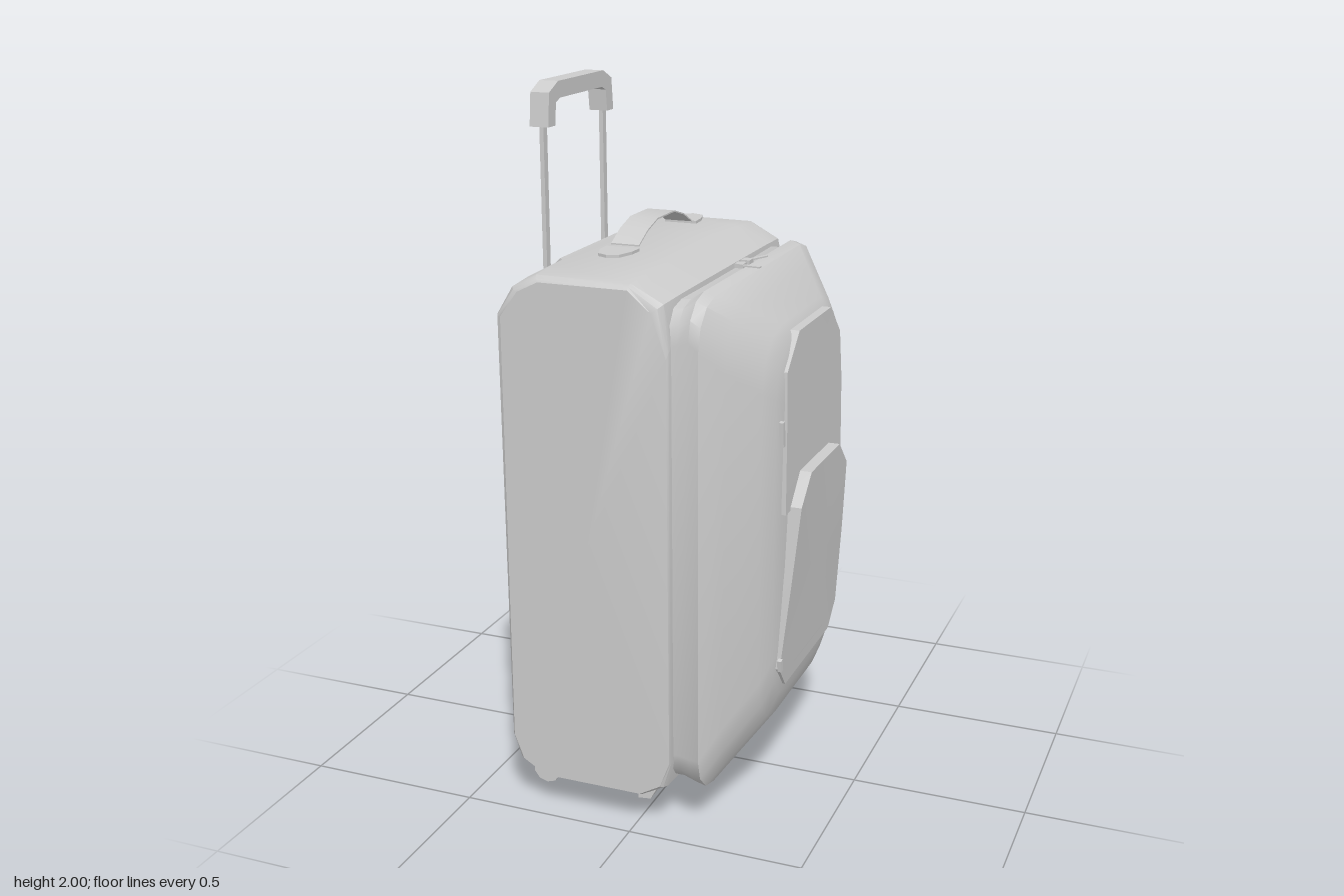
import * as THREE from 'three';
import { toCreasedNormals } from 'three/addons/utils/BufferGeometryUtils.js';

const material = new THREE.MeshStandardMaterial({ color: 0xcccccc });
const thinMaterial = new THREE.MeshStandardMaterial({ color: 0xcccccc, side: THREE.DoubleSide });

// Skins a row of equal-length rings of [x, y, z] and closes both ends.
function loft(rings, crease = 0.5) {
  const n = rings[0].length;
  const pos = rings.flat(2);
  const index = [];
  for (let r = 0; r < rings.length - 1; r++) {
    for (let i = 0; i < n; i++) {
      const a = r * n + i, b = r * n + (i + 1) % n;
      index.push(a, b, b + n, a, b + n, a + n);
    }
  }
  [0, rings.length - 1].forEach((r, end) => {
    const c = pos.length / 3;
    for (let k = 0; k < 3; k++) pos.push(rings[r].reduce((s, p) => s + p[k], 0) / n);
    for (let i = 0; i < n; i++) {
      const a = r * n + i, b = r * n + (i + 1) % n;
      index.push(...(end ? [a, b, c] : [b, a, c]));
    }
  });
  // turn the faces outward
  const v = i => new THREE.Vector3().fromArray(pos, i * 3);
  let volume = 0;
  for (let i = 0; i < index.length; i += 3) volume += v(index[i]).dot(v(index[i + 1]).cross(v(index[i + 2])));
  if (volume < 0) index.reverse();
  const geo = new THREE.BufferGeometry();
  geo.setAttribute('position', new THREE.Float32BufferAttribute(pos, 3));
  geo.setIndex(index);
  return toCreasedNormals(geo, crease);
}

// Rounded rectangle in the YZ plane at a given x.
function roundedRing(x, halfZ, y0, y1, r) {
  const ring = [];
  const corners = [[halfZ - r, y1 - r], [r - halfZ, y1 - r], [r - halfZ, y0 + r], [halfZ - r, y0 + r]];
  corners.forEach(([z, y], q) => {
    for (let i = 0; i <= 3; i++) {
      const a = (q + i / 3) * Math.PI / 2;
      ring.push([x, y + r * Math.sin(a), z + r * Math.cos(a)]);
    }
  });
  return ring;
}

// Outline in XY pushed out evenly around a given z.
function slab(points, z, depth) {
  return loft([z - depth / 2, z + depth / 2].map(k => points.map(([x, y]) => [x, y, k])), 0.3);
}

export function createModel() {
  const group = new THREE.Group();
  const add = (name, geo, mat = material, parent = group) => {
    const mesh = new THREE.Mesh(geo, mat);
    mesh.name = name;
    parent.add(mesh);
    return mesh;
  };
  const box = (name, size, at, rot = [0, 0, 0]) => {
    const mesh = add(name, new THREE.BoxGeometry(...size));
    mesh.position.set(...at);
    mesh.rotation.set(...rot);
    return mesh;
  };

  // Main case: side panel outline blended into a fuller middle outline
  const side = [[-0.36, 1.43], [-0.31, 1.5], [-0.25, 1.53], [0, 1.53], [0.065, 1.475], [0.105, 1.36],
    [0.108, 0.22], [0.08, 0.145], [0.02, 0.11], [-0.27, 0.11], [-0.335, 0.15], [-0.362, 0.22]];
  const middle = [[-0.39, 1.43], [-0.345, 1.51], [-0.27, 1.55], [0, 1.548], [0.1, 1.505], [0.115, 1.4],
    [0.115, 0.22], [0.1, 0.135], [0.03, 0.1], [-0.28, 0.1], [-0.36, 0.15], [-0.378, 0.22]];
  const stations = [[-0.47, 0], [-0.462, 0.4], [-0.445, 0.7], [-0.34, 0.95], [-0.2, 1]];
  const all = [...stations, ...stations.map(([z, t]) => [-z, t]).reverse()];
  add('mainCase', loft(all.map(([z, t]) => side.map(([x, y], i) =>
    [x + (middle[i][0] - x) * t, y + (middle[i][1] - y) * t, z]))));

  // Front pouch with the seam groove and zip band behind it
  add('frontPouch', loft([
    [0.06, 0.45, 0.14, 1.49, 0.1], [0.125, 0.45, 0.14, 1.492, 0.1], [0.16, 0.458, 0.128, 1.515, 0.11],
    [0.19, 0.465, 0.12, 1.505, 0.12], [0.24, 0.41, 0.185, 1.46, 0.14], [0.31, 0.32, 0.275, 1.4, 0.15],
    [0.335, 0.28, 0.34, 1.365, 0.14], [0.35, 0.23, 0.42, 1.3, 0.1],
  ].map(s => roundedRing(...s)), 0.6));

  // Pockets: half outline [z, y, x], mirrored, with the skirt sunk in the pouch
  const pocket = (name, half) => {
    const rim = [...half, ...half.map(([z, y, x]) => [-z, y, x]).reverse()];
    add(name, loft([rim.map(([z, y]) => [0.3, y, z]), rim.map(([z, y, x]) => [x, y, z])], 0.4));
  };
  pocket('upperPocket', [[0.25, 0.9, 0.357], [0.245, 1.15, 0.355], [0.235, 1.29, 0.35], [0.14, 1.38, 0.35]]);
  pocket('lowerPocket', [[0.2, 0.38, 0.347], [0.26, 0.45, 0.35], [0.235, 0.7, 0.372], [0.21, 0.91, 0.388], [0.13, 0.987, 0.389]]);

  // Telescopic handle: well plate, rods and grip
  box('handleWell', [0.12, 0.012, 0.46], [-0.338, 1.495, 0], [0, 0, 0.78]);
  for (const s of [1, -1]) box('handleRod', [0.012, 0.47, 0.022], [-0.36, 1.675, s * 0.19]);
  const outer = [[0.21, 1.885], [0.2, 1.975], [0.145, 2]];
  const inner = [[0.135, 1.955], [0.16, 1.945], [0.168, 1.885]];
  const gripHalf = [...outer.slice().reverse(), ...inner.slice().reverse()];
  const gripShape = new THREE.Shape([...outer, ...outer.map(([z, y]) => [-z, y]).reverse(),
    ...gripHalf.slice(3).map(([z, y]) => [-z, y]), ...inner].map(p => new THREE.Vector2(...p)));
  const grip = new THREE.ExtrudeGeometry(gripShape, { depth: 0.055, bevelEnabled: false });
  grip.rotateY(Math.PI / 2).translate(-0.39, 0, 0);
  add('handleGrip', grip);

  // Carry strap: thin arched band
  const arch = [[-0.19, 1.585], [-0.13, 1.615], [-0.06, 1.635], [0.06, 1.635], [0.13, 1.615], [0.19, 1.585]];
  add('carryStrap', loft(arch.map(([z, y]) =>
    [[-0.167, y - 0.004, z], [-0.167, y, z], [-0.086, y, z], [-0.086, y - 0.004, z]])));

  // Strap end pads
  const padShape = new THREE.Shape([[-0.175, 0.205], [-0.078, 0.205], [-0.08, 0.25], [-0.095, 0.3],
    [-0.127, 0.313], [-0.155, 0.3], [-0.173, 0.25]].map(p => new THREE.Vector2(...p)));
  for (const s of [1, -1]) {
    const pad = new THREE.ExtrudeGeometry(padShape, { depth: 0.008, bevelEnabled: false });
    pad.rotateX(s * Math.PI / 2);
    pad.translate(0, s > 0 ? 1.58 : 1.572, 0);
    add('strapPad', pad, thinMaterial);
  }

  // Zip pulls: slider and tab
  for (const [z, tabX, tabZ, turn, length] of [[-0.01, 0.165, -0.048, 1.15, 0.07], [0.042, 0.182, 0.061, -0.1, 0.06]]) {
    box('zipSlider', [0.025, 0.012, 0.032], [0.148, 1.52, z]);
    box('zipTab', [length, 0.004, 0.012], [tabX, 1.523, tabZ], [0, turn, 0]);
  }
  box('upperPocketZip', [0.012, 0.07, 0.014], [0.348, 1.13, 0.265], [0.1, 0, 0]);
  box('lowerPocketZip', [0.012, 0.035, 0.014], [0.352, 0.465, 0.262], [0.2, 0, 0]);

  // Wheels with forks at the back, feet at the front
  for (const s of [1, -1]) {
    const wheel = new THREE.CylinderGeometry(0.042, 0.042, 0.032, 10);
    wheel.rotateX(Math.PI / 2);
    add('wheel', toCreasedNormals(wheel, 0.7)).position.set(-0.332, 0.046, s * 0.32);
    add('wheelFork', slab([[-0.36, 0.13], [-0.28, 0.075], [-0.295, 0.045], [-0.345, 0.04]], s * 0.318, 0.05));
    add('foot', slab([[-0.048, 0.065], [0.025, 0.072], [-0.01, 0.01], [-0.048, 0.006]], s * 0.305, 0.04));
  }
  return group;
}
